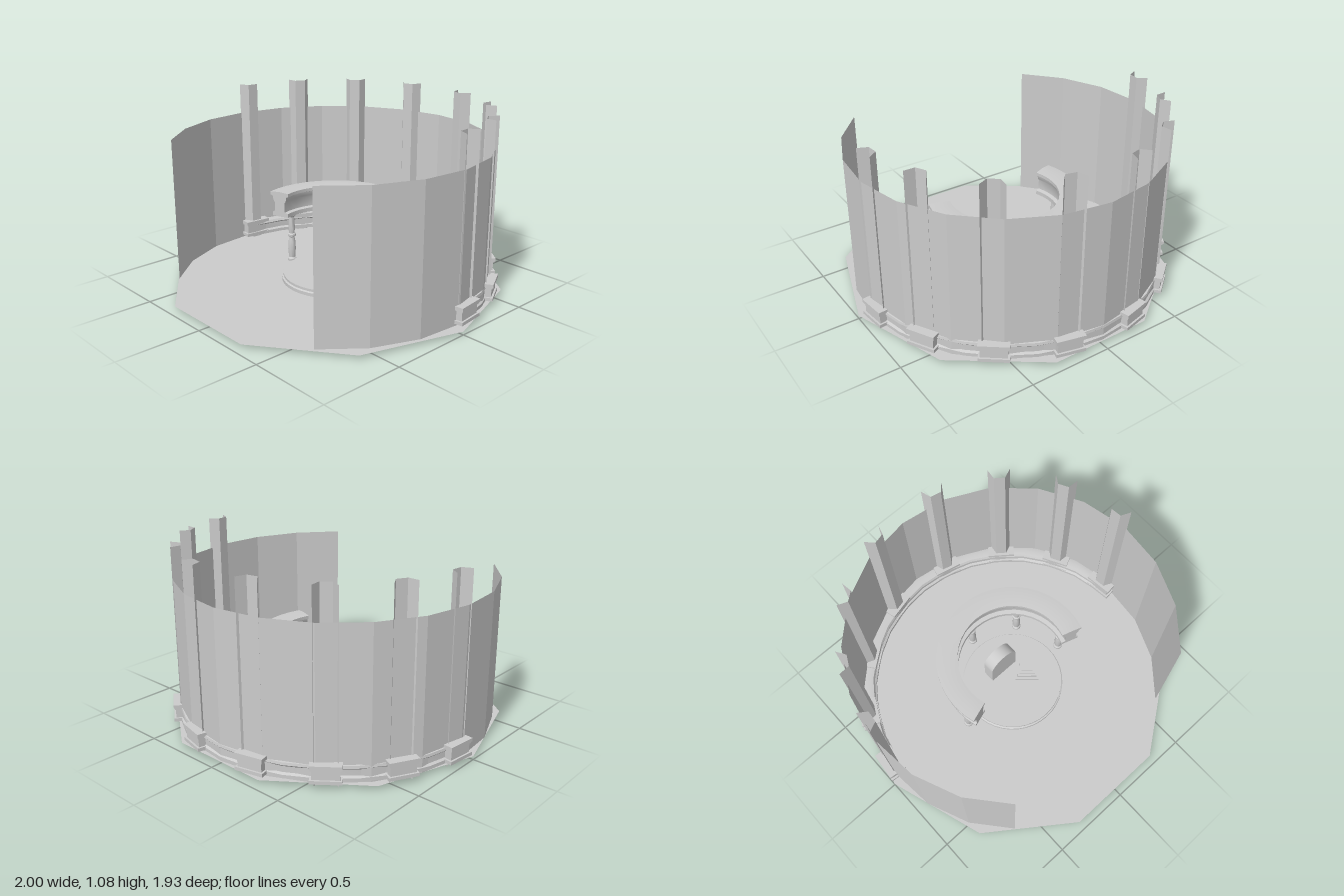
import * as THREE from 'three';
import { toCreasedNormals } from 'three/addons/utils/BufferGeometryUtils.js';

const rad = THREE.MathUtils.degToRad;
const smooth = new THREE.MeshStandardMaterial({ color: 0xcccccc, side: THREE.DoubleSide });
const flat = new THREE.MeshStandardMaterial({ color: 0xcccccc, side: THREE.DoubleSide, flatShading: true });

function add(parent, name, geometry, material, x = 0, y = 0, z = 0) {
  const mesh = new THREE.Mesh(geometry, material);
  mesh.name = name;
  mesh.position.set(x, y, z);
  parent.add(mesh);
  return mesh;
}

// Lathe with crisp edges; profile is [radius, height] pairs, angles in degrees from +z towards +x
function lathe(profile, segments, start = 0, length = 360) {
  const points = profile.map(([r, y]) => new THREE.Vector2(r, y));
  return toCreasedNormals(new THREE.LatheGeometry(points, segments, rad(start), rad(length)), rad(35));
}

// Moulding swept round an arc, closed at both ends
function arcMoulding(parent, name, profile, segments, start, length) {
  const group = new THREE.Group();
  group.name = name;
  add(group, name + 'Sweep', lathe([...profile, profile[0]], segments, start, length), smooth);
  const section = new THREE.Shape(profile.map(([r, y]) => new THREE.Vector2(r, y)));
  for (const angle of [start, start + length]) {
    add(group, name + 'End', new THREE.ShapeGeometry(section), smooth).rotation.y = rad(angle - 90);
  }
  parent.add(group);
  return group;
}

export function createModel() {
  const model = new THREE.Group();
  model.name = 'rotunda';

  // Ten-sided floor sheet
  const floor = new THREE.CircleGeometry(1, 10).rotateX(-Math.PI / 2);
  add(model, 'floor', floor, flat, 0, 0.02, 0);

  // Enclosure: wall with a wide front opening, half columns and plinth
  const enclosure = new THREE.Group();
  enclosure.name = 'enclosure';
  enclosure.position.x = -0.012;
  model.add(enclosure);
  add(enclosure, 'wall',
    new THREE.CylinderGeometry(0.943, 0.943, 0.87, 16, 1, true, rad(41), rad(278)), flat, 0, 0.455, 0);

  arcMoulding(enclosure, 'plinthMoulding', [
    [0.875, 0.03], [0.95, 0.03], [0.95, 0.05], [0.938, 0.06], [0.938, 0.095],
    [0.948, 0.105], [0.945, 0.12], [0.915, 0.125], [0.885, 0.12], [0.877, 0.105],
    [0.888, 0.095], [0.888, 0.06], [0.875, 0.05],
  ], 14, 96, 168);

  // Half columns, open towards the outside, each on a three-step base
  for (const a of [6, 28, 52, 76.5, 103.5, 128, 152, 174]) {
    const column = new THREE.Group();
    column.name = 'wallColumn';
    column.rotation.y = rad(a - 90);
    enclosure.add(column);
    add(column, 'columnShaft',
      new THREE.CylinderGeometry(0.065, 0.065, 1.08, 3, 1, true, rad(-90), rad(180)), flat, 0, 0.54, -0.943);
    for (const [w, d, y0, y1] of [
      [0.172, 0.115, 0.035, 0.055], [0.148, 0.092, 0.055, 0.108],
      [0.16, 0.104, 0.108, 0.118], [0.172, 0.115, 0.118, 0.138],
    ]) {
      add(column, 'columnBase', new THREE.BoxGeometry(w, y1 - y0, d), flat, 0, (y0 + y1) / 2, -0.927);
    }
  }

  // Round dais in the middle of the floor
  add(model, 'dais', lathe([
    [0, 0.013], [0.305, 0.013], [0.325, 0.022], [0.325, 0.042], [0.316, 0.048], [0.316, 0.063], [0, 0.063],
  ], 40), smooth);

  // Pavilion: curved entablature carried by five turned columns
  const pavilion = new THREE.Group();
  pavilion.name = 'pavilion';
  model.add(pavilion);
  arcMoulding(pavilion, 'entablature', [
    [0.335, 0.345], [0.445, 0.345], [0.445, 0.37], [0.43, 0.375], [0.43, 0.435],
    [0.44, 0.45], [0.445, 0.475], [0.46, 0.48], [0.46, 0.5], [0.395, 0.505],
    [0.332, 0.5], [0.332, 0.48], [0.345, 0.475], [0.35, 0.45], [0.36, 0.435],
    [0.36, 0.375], [0.335, 0.37],
  ], 24, 72, 216);

  const turned = lathe([
    [0, 0.016], [0.028, 0.016], [0.028, 0.035], [0.02, 0.045], [0.025, 0.1], [0.022, 0.15],
    [0.017, 0.18], [0.026, 0.187], [0.026, 0.2], [0.018, 0.207], [0.021, 0.24],
    [0.017, 0.315], [0.026, 0.325], [0.028, 0.345], [0, 0.345],
  ], 12);
  for (let i = 0; i < 5; i++) {
    const a = rad(-2 + i * 46);
    add(pavilion, 'pavilionColumn', turned, smooth, 0.393 * Math.cos(a), 0, -0.393 * Math.sin(a));
  }

  // Round-headed slab standing on the dais
  const arch = new THREE.Shape();
  arch.moveTo(-0.1, 0.06);
  arch.lineTo(0.1, 0.06);
  arch.lineTo(0.1, 0.22);
  arch.absarc(0, 0.22, 0.1, 0, Math.PI);
  arch.closePath();
  const slab = new THREE.ExtrudeGeometry(arch, { depth: 0.075, bevelEnabled: false, curveSegments: 14 });
  add(model, 'archedSlab', toCreasedNormals(slab, rad(35)), smooth, 0, 0, -0.155);

  // Small stepped pedestal, turned on the dais
  const pedestal = new THREE.Group();
  pedestal.name = 'steppedPedestal';
  pedestal.position.set(0.117, 0, 0.01);
  pedestal.rotation.y = rad(-42);
  model.add(pedestal);
  for (const [w, y0, y1] of [
    [0.148, 0.06, 0.083], [0.12, 0.083, 0.105], [0.082, 0.105, 0.122], [0.1, 0.122, 0.134], [0.07, 0.134, 0.146],
  ]) {
    add(pedestal, 'pedestalStep', new THREE.BoxGeometry(w, y1 - y0, w), flat, 0, (y0 + y1) / 2, 0);
  }

  return model;
}
